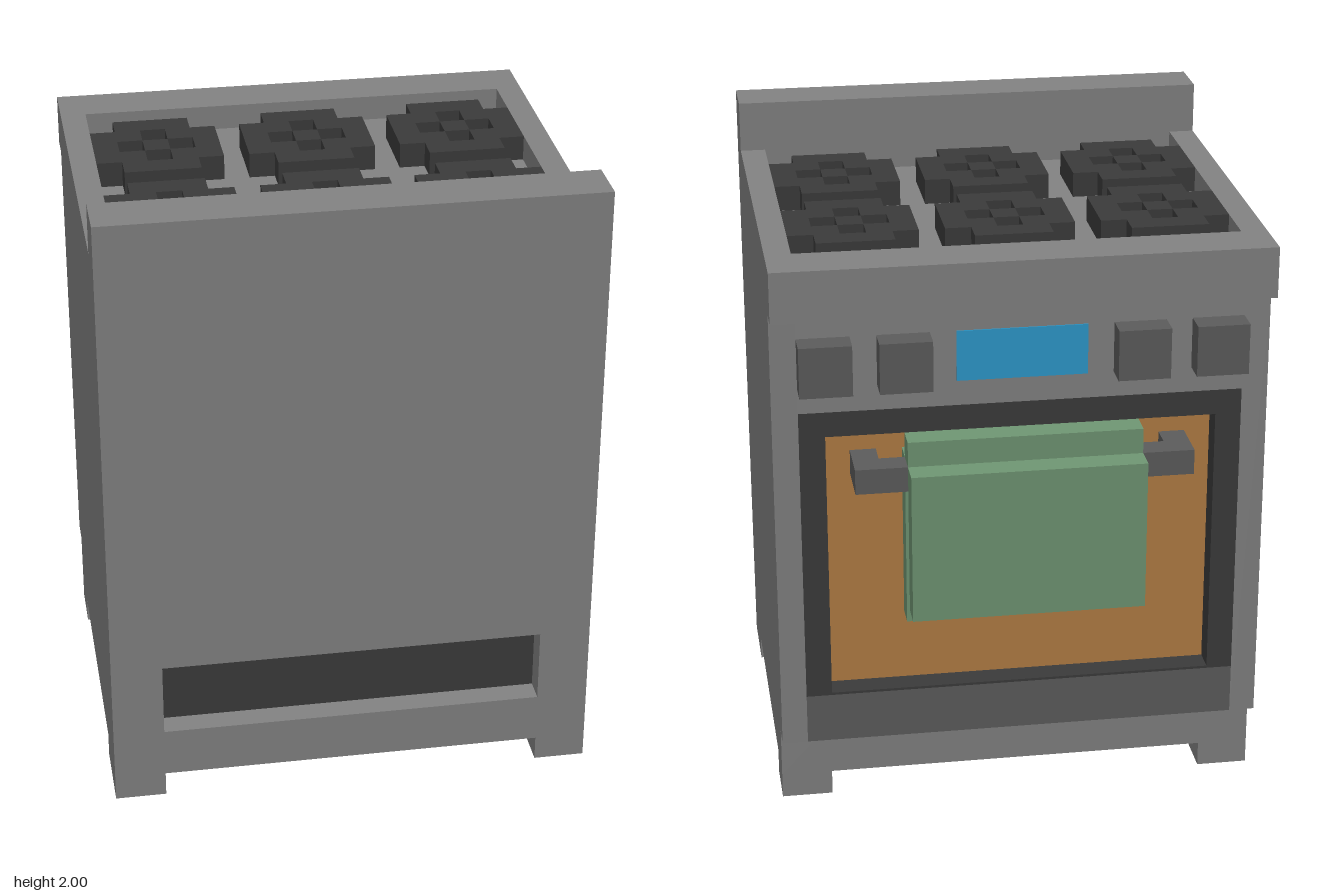
import * as THREE from 'three';

export function createModel() {
  const group = new THREE.Group();
  group.name = 'kitchenStove';

  const mat = (name, color) => {
    const m = new THREE.MeshStandardMaterial({ color });
    m.name = name;
    return m;
  };
  const steel = mat('steelGrey', 0x828282);
  const knobGrey = mat('knobGrey', 0x5c5c5c);
  const iron = mat('ironBlack', 0x3b3b3b);
  const glass = mat('ovenGlow', 0xb37e44);
  const display = mat('displayBlue', 0x2d9acc);
  const cloth = mat('towelGreen', 0x6f9673);

  // Box given by its minimum and maximum corners
  function box(name, material, x0, x1, y0, y1, z0, z1, parent = group) {
    const mesh = new THREE.Mesh(new THREE.BoxGeometry(x1 - x0, y1 - y0, z1 - z0), material);
    mesh.position.set((x0 + x1) / 2, (y0 + y1) / 2, (z0 + z1) / 2);
    mesh.name = name;
    parent.add(mesh);
    return mesh;
  }

  // Mirrored pair of boxes on both sides of x = 0
  function pair(name, material, x0, x1, ...rest) {
    box(name + 'Left', material, x0, x1, ...rest);
    box(name + 'Right', material, -x1, -x0, ...rest);
  }

  // Flat outline with holes, extruded along z
  const points = (list) => list.map(([x, y]) => new THREE.Vector2(x, y));
  const rect = (x0, x1, y0, y1) => [[x0, y0], [x1, y0], [x1, y1], [x0, y1]];
  function extrude(outline, holes, depth) {
    const shape = new THREE.Shape(points(outline));
    for (const h of holes) shape.holes.push(new THREE.Path(points(h)));
    return new THREE.ExtrudeGeometry(shape, { depth, bevelEnabled: false });
  }

  // Cabinet, base and feet
  box('cabinet', steel, -0.76, 0.76, 0.08, 1.76, -0.48, 0.64);
  pair('ovenSideFoot', steel, 0.6, 0.76, 0, 0.08, -0.48, -0.32);
  pair('wallSideFoot', steel, 0.6, 0.76, 0, 0.08, 0.48, 0.72);

  // Plain wall panel with a recessed vent
  const wall = new THREE.Mesh(
    extrude(rect(-0.76, 0.76, 0.08, 1.76), [rect(-0.6, 0.6, 0.24, 0.48)], 0.08), steel);
  wall.position.z = 0.64;
  wall.name = 'wallPanel';
  group.add(wall);
  box('ventRecess', iron, -0.6, 0.6, 0.24, 0.48, 0.636, 0.644);
  box('backsplash', steel, -0.76, 0.76, 1.76, 2, 0.56, 0.72);

  // Cooktop rim around the sunken tray
  box('rimEdge', steel, -0.76, 0.76, 1.68, 1.84, -0.64, -0.48);
  pair('rimRail', steel, 0.68, 0.76, 1.76, 1.84, -0.48, 0.56);

  // Burner grates: stepped outline, four square openings around the hub
  const u = 0.08;
  const a = 1.5 * u, b = 2.5 * u, h = u / 2;
  const outline = [[-a, -b], [a, -b], [a, -a], [b, -a], [b, a], [a, a],
    [a, b], [-a, b], [-a, a], [-b, a], [-b, -a], [-a, -a]];
  const ring = extrude(outline, [[[-h, -a], [h, -a], [h, -h], [a, -h], [a, h], [h, h],
    [h, a], [-h, a], [-h, h], [-a, h], [-a, -h], [-h, -h]]], 0.08);
  ring.rotateX(-Math.PI / 2);
  for (const x of [-0.48, 0, 0.48]) {
    for (const z of [-0.2, 0.28]) {
      const burner = new THREE.Group();
      burner.name = 'burner';
      const grate = new THREE.Mesh(ring, iron);
      grate.name = 'burnerGrate';
      burner.add(grate);
      box('burnerHub', iron, -h, h, 0, 0.08, -h, h, burner);
      burner.position.set(x, 1.76, z);
      group.add(burner);
    }
  }

  // Control panel with display and knobs
  pair('doorColumn', steel, 0.68, 0.76, 0.24, 1.68, -0.56, -0.48);
  box('controlPanel', steel, -0.68, 0.68, 1.36, 1.68, -0.56, -0.48);
  box('display', display, -0.2, 0.2, 1.44, 1.6, -0.564, -0.556);
  pair('outerKnob', knobGrey, 0.52, 0.68, 1.44, 1.6, -0.64, -0.56);
  pair('innerKnob', knobGrey, 0.28, 0.44, 1.44, 1.6, -0.64, -0.56);

  // Oven door: dark frame, window and lower strip
  pair('doorFrameSide', iron, 0.6, 0.68, 0.4, 1.36, -0.56, -0.48);
  box('doorFrameTop', iron, -0.6, 0.6, 1.28, 1.36, -0.56, -0.48);
  box('doorLedge', iron, -0.6, 0.6, 0.4, 0.408, -0.56, -0.48);
  box('ovenWindow', glass, -0.6, 0.6, 0.4, 1.28, -0.484, -0.476);
  box('doorStrip', knobGrey, -0.68, 0.68, 0.24, 0.4, -0.56, -0.48);

  // Door handle
  box('handleBar', knobGrey, -0.52, 0.52, 1.12, 1.2, -0.64, -0.56);
  pair('handleMount', knobGrey, 0.44, 0.52, 1.12, 1.2, -0.56, -0.48);

  // Towel folded over the handle
  box('towelFold', cloth, -0.36, 0.36, 1.2, 1.28, -0.64, -0.56);
  box('towelOuterFlap', cloth, -0.36, 0.36, 0.72, 1.2, -0.72, -0.64);
  box('towelInnerFlap', cloth, -0.36, 0.36, 0.64, 1.2, -0.56, -0.48);

  return group;
}
